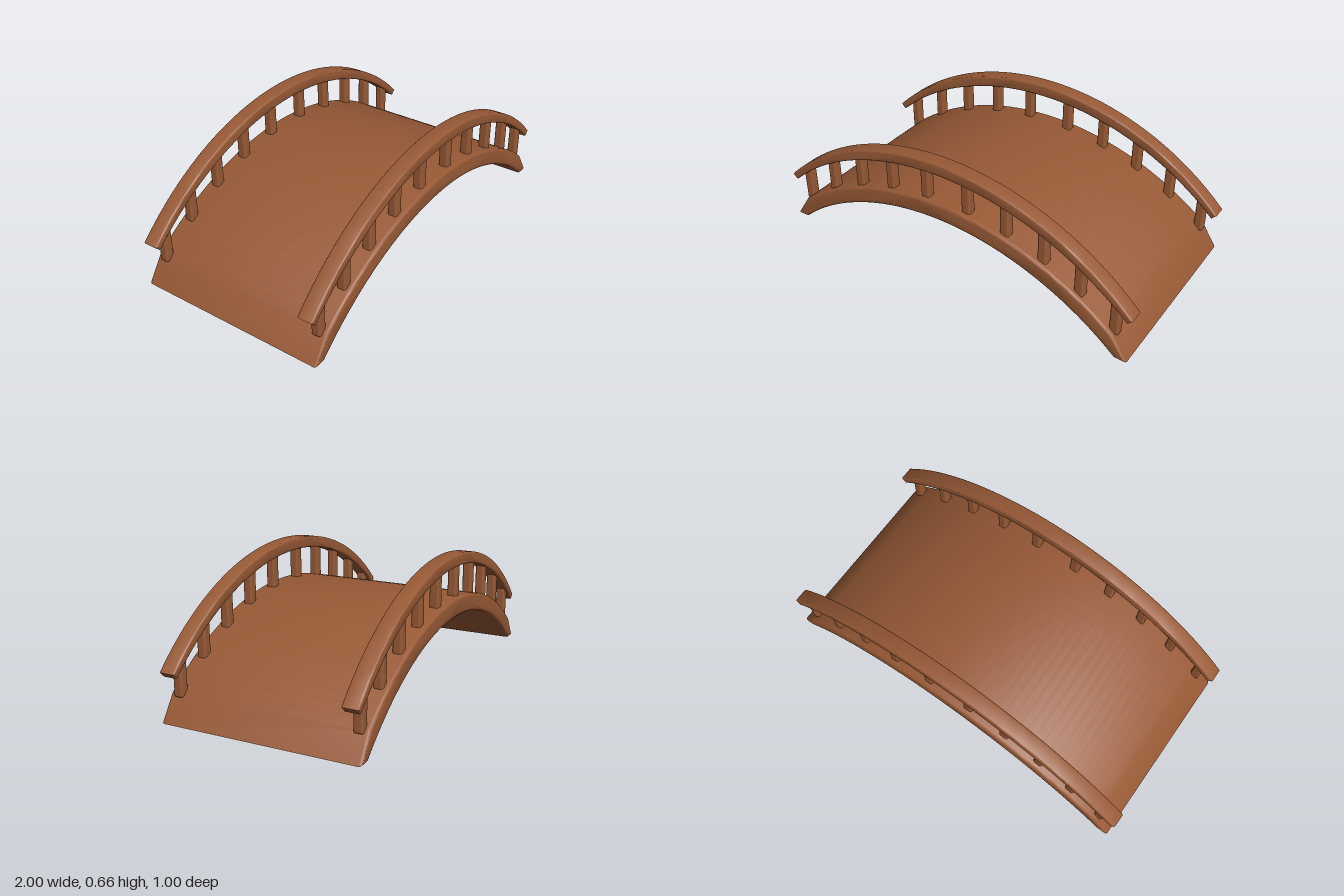
import * as THREE from 'three';
import { toCreasedNormals } from 'three/addons/utils/BufferGeometryUtils.js';
import { RoundedBoxGeometry } from 'three/addons/geometries/RoundedBoxGeometry.js';

// Circular arc through (0, crown) and (halfSpan, foot): height at x
function arcHeight(x, { crown, halfSpan, foot }) {
  const rise = crown - foot;
  const r = (halfSpan ** 2 + rise ** 2) / (2 * rise);
  return crown - r + Math.sqrt(r * r - x * x);
}

// Points along an arc, evenly spaced from -halfSpan to +halfSpan
function arcPoints(arc, n = 40) {
  return Array.from({ length: n + 1 }, (_, i) => {
    const x = arc.halfSpan * (2 * i / n - 1);
    return new THREE.Vector2(x, arcHeight(x, arc));
  });
}

// Arched slab with rounded long edges, centred on z = 0
function archGeometry(points, width, bevel) {
  const geometry = new THREE.ExtrudeGeometry(new THREE.Shape(points), {
    depth: width - 2 * bevel,
    bevelEnabled: true,
    bevelThickness: bevel,
    bevelSize: bevel,
    bevelOffset: -bevel,
    bevelSegments: 3,
  });
  geometry.translate(0, 0, -(width - 2 * bevel) / 2);
  return toCreasedNormals(geometry, 0.65);
}

export function createModel() {
  const group = new THREE.Group();
  const wood = new THREE.MeshStandardMaterial({ color: 0x985a36 });
  wood.name = 'brown wood';

  const add = (name, geometry, x, y, z) => {
    const mesh = new THREE.Mesh(geometry, wood);
    mesh.name = name;
    mesh.position.set(x, y, z);
    group.add(mesh);
  };

  // Deck: curved slab with slanted feet resting on the ground
  const deckTop = { crown: 0.447, halfSpan: 0.91, foot: 0.125 };
  const deckBottom = { crown: 0.355, halfSpan: 0.93, foot: 0.0 };
  const deckProfile = [
    ...arcPoints(deckBottom),
    new THREE.Vector2(0.992, 0),
    ...arcPoints(deckTop).reverse(),
    new THREE.Vector2(-0.992, 0),
  ];
  add('deck', archGeometry(deckProfile, 0.996, 0.014), 0, 0, 0);

  // Handrails and their posts, mirrored to both sides
  const railTop = { crown: 0.662, halfSpan: 1.0, foot: 0.245 };
  const railBottom = { crown: 0.602, halfSpan: 0.975, foot: 0.219 };
  const railProfile = [...arcPoints(railBottom), ...arcPoints(railTop).reverse()];
  const railGeometry = archGeometry(railProfile, 0.08, 0.008);

  for (const side of [1, -1]) {
    const z = side * 0.449;
    add('handrail', railGeometry, 0, 0, z);
    for (const px of [0.117, 0.329, 0.53, 0.722, 0.906]) {
      const low = arcHeight(px, deckTop) - 0.02;
      const high = arcHeight(px, railBottom) + 0.02;
      const post = new RoundedBoxGeometry(0.048, high - low, 0.048, 3, 0.012);
      for (const end of [1, -1]) add('post', post, end * px, (low + high) / 2, z);
    }
  }
  return group;
}
